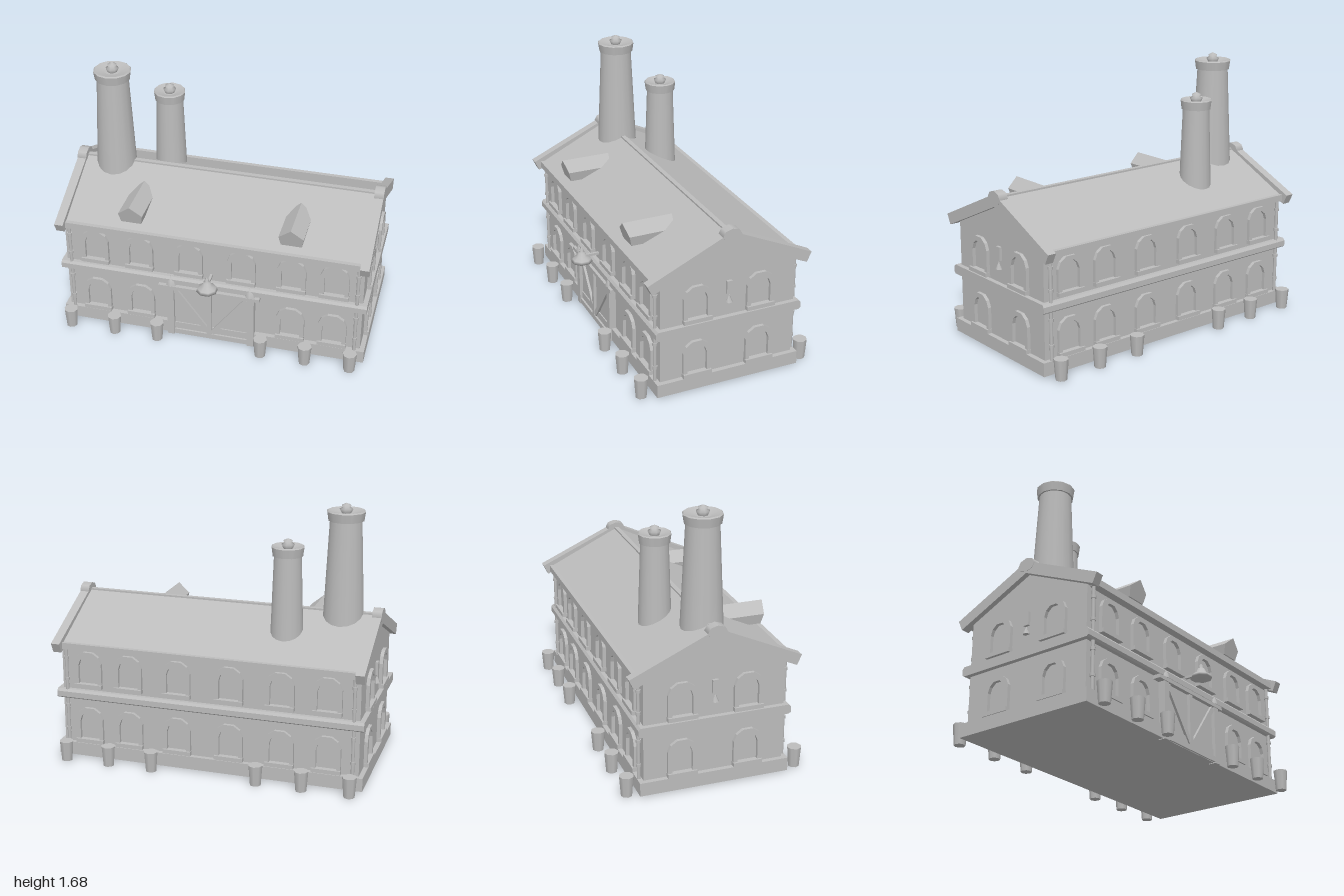
import * as THREE from 'three';

const stone = new THREE.MeshStandardMaterial({ color: 0xbcbcbc });
stone.name = 'plainGrey';

function add(parent, name, geo, x = 0, y = 0, z = 0) {
  const m = new THREE.Mesh(geo, stone);
  m.name = name;
  m.position.set(x, y, z);
  parent.add(m);
  return m;
}
const box = (w, h, d) => new THREE.BoxGeometry(w, h, d);
const shapeOf = pts => new THREE.Shape(pts.map(p => new THREE.Vector2(p[0], p[1])));
const extrude = (shape, depth) => new THREE.ExtrudeGeometry(shape, { depth, bevelEnabled: false });
const lathe = (pts, sides) => new THREE.LatheGeometry(pts.map(p => new THREE.Vector2(p[0], p[1])), sides);

// Cross-section mirrored over the ridge, run along x
function acrossSection(half, length) {
  const pts = [...half, ...half.filter(p => p[0] > 0).map(p => [-p[0], p[1], p[2]]).reverse()];
  const geo = extrude(shapeOf(pts), length);
  geo.translate(0, 0, -length / 2);
  return geo.rotateY(Math.PI / 2);
}

// Chevron with four points per side so that both top and underside follow the pitch
function chevron(topY, edge, under, bottomY, length) {
  const pts = [[0, topY], edge, under, [0, bottomY], [-under[0], under[1]], [-edge[0], edge[1]]];
  const geo = extrude(shapeOf(pts), length);
  geo.translate(0, 0, -length / 2);
  return geo.rotateY(Math.PI / 2);
}

// Arched surround with a sill
function arch(w, bottom, h) {
  return [[-w, bottom], [w, bottom], [w, h * 0.7], [w * 0.8, h * 0.88], [w * 0.35, h],
    [-w * 0.35, h], [-w * 0.8, h * 0.88], [-w, h * 0.7]];
}
const frameShape = shapeOf(arch(0.09, 0, 0.235));
frameShape.holes.push(new THREE.Path(arch(0.064, 0.02, 0.205).map(p => new THREE.Vector2(p[0], p[1]))));
const frameGeo = extrude(frameShape, 0.022);
const sillGeo = box(0.184, 0.026, 0.035);

function windowAt(parent, x, y, z, turn) {
  const g = new THREE.Group();
  g.name = 'window';
  add(g, 'windowFrame', frameGeo);
  add(g, 'windowSill', sillGeo, 0, 0.012, 0.016);
  g.position.set(x, y, z);
  g.rotation.y = turn;
  parent.add(g);
}

// Tapered stack, flared cap and small finial
function chimney(parent, name, x, z, y0, y1, r0, r1, rc) {
  const g = new THREE.Group();
  g.name = name;
  add(g, 'stack', new THREE.CylinderGeometry(r1, r0, y1 - y0, 16), 0, (y0 + y1) / 2, 0);
  const cap = [[r1 * 0.9, 0], [rc * 0.93, 0], [rc, 0.055], [rc * 0.94, 0.062], [rc * 0.4, 0.045], [0, 0.045]];
  for (let i = 0; i + 1 < cap.length; i++) add(g, 'cap', lathe([cap[i], cap[i + 1]], 12), 0, y1, 0);
  add(g, 'finial', lathe([[0.03, 0], [0.042, 0.025], [0.024, 0.034], [0.03, 0.048], [0, 0.062]], 8), 0, y1 + 0.045, 0);
  g.position.set(x, 0, z);
  parent.add(g);
}

// Bar between two points on the gate
function strut(parent, name, a, b, w, d, z) {
  const m = add(parent, name, box(w, Math.hypot(b[0] - a[0], b[1] - a[1]), d), (a[0] + b[0]) / 2, (a[1] + b[1]) / 2, z);
  m.rotation.z = Math.atan2(a[0] - b[0], b[1] - a[1]);
}

export function createModel() {
  const root = new THREE.Group();
  root.name = 'longBrickHall';
  const g = new THREE.Group();
  g.name = 'building';
  g.position.z = -0.022;
  root.add(g);

  // Body, plinth and belt
  add(g, 'walls', acrossSection([[0, 0.975], [0.44, 0.76], [0.44, 0.05]], 1.93));
  add(g, 'plinth', box(1.99, 0.085, 0.94), 0, 0.0575, 0);
  add(g, 'belt', acrossSection([[0.465, 0.46], [0.478, 0.445], [0.478, 0.41], [0.465, 0.4]], 1.99));

  // Roof, ridge, gutters and gable trims
  add(g, 'roof', chevron(1.0, [0.48, 0.768], [0.48, 0.735], 0.962, 1.9));
  add(g, 'ridge', box(1.9, 0.014, 0.03), 0, 0.997, 0);
  for (const s of [1, -1]) {
    add(g, 'gutter', box(1.89, 0.042, 0.05), 0, 0.755, s * 0.466);
    add(g, 'gableTrim', chevron(1.02, [0.533, 0.778], [0.503, 0.715], 0.942, 0.056), s * 0.97, 0, 0);
    const block = add(g, 'ridgeBlock', new THREE.CylinderGeometry(0.062, 0.062, 0.06, 8), s * 0.97, 0.995, 0);
    block.rotation.set(0, 0, Math.PI / 2);
    block.scale.set(0.72, 1, 1);
  }

  // Windows on all four sides
  const xs = [-0.765, -0.47, -0.145, 0.195, 0.515, 0.785];
  xs.forEach((x, i) => {
    windowAt(g, x, 0.48, 0.44, 0);
    windowAt(g, x, 0.48, -0.44, Math.PI);
    windowAt(g, x, 0.105, -0.44, Math.PI);
    if (i < 2 || i > 3) windowAt(g, x, 0.105, 0.44, 0);
  });
  for (const s of [1, -1]) {
    for (const z of [0.208, -0.205]) {
      for (const y of [0.47, 0.102]) windowAt(g, s * 0.965, y, z, s * Math.PI / 2);
    }
    // Small wall lantern in the gable
    add(g, 'lanternPlate', box(0.02, 0.085, 0.036), s * 0.972, 0.648, 0);
    add(g, 'lanternDrop', new THREE.ConeGeometry(0.022, 0.05, 6), s * 0.975, 0.575, 0);
  }

  // Drainpipes at the corners
  for (const sx of [1, -1]) for (const sz of [1, -1]) {
    add(g, 'drainpipe', new THREE.CylinderGeometry(0.011, 0.011, 0.66, 8), sx * 0.93, 0.41, sz * 0.458);
    for (const y of [0.19, 0.35, 0.53, 0.67]) {
      add(g, 'pipeClip', new THREE.CylinderGeometry(0.016, 0.016, 0.018, 8), sx * 0.93, y, sz * 0.458);
    }
  }

  // Tapered bollards along front and back
  const bollard = new THREE.CylinderGeometry(0.045, 0.035, 0.13, 8);
  for (const z of [0.542, -0.533]) for (const x of [-0.928, -0.63, -0.342, 0.342, 0.63, 0.918]) {
    add(g, 'bollard', bollard, x, 0.067, z);
  }

  // Braced double gate
  const gate = new THREE.Group();
  gate.name = 'gate';
  g.add(gate);
  add(gate, 'gateLeaves', box(0.5, 0.36, 0.03), 0, 0.2, 0.448);
  add(gate, 'gateLintel', box(0.66, 0.024, 0.07), -0.01, 0.387, 0.455);
  add(gate, 'gateThreshold', box(0.52, 0.035, 0.04), 0, 0.035, 0.462);
  add(gate, 'gateMiddlePost', box(0.03, 0.33, 0.02), -0.008, 0.21, 0.472);
  for (const s of [1, -1]) {
    add(gate, 'gatePost', box(0.045, 0.37, 0.05), s * 0.263, 0.195, 0.46);
    strut(gate, 'gateBrace', [s * 0.235, 0.365], [s * 0.01, 0.06], 0.032, 0.018, 0.47);
    add(gate, 'postCap', lathe([[0.036, 0], [0.028, 0.03], [0.012, 0.055], [0, 0.065]], 8), s * 0.258, 0.4, 0.46);
  }

  // Flared lamp above the gate
  add(g, 'lampArm', box(0.016, 0.016, 0.12), 0, 0.5, 0.495);
  const lamp = add(g, 'lampShade', lathe([[0, 0.468], [0.068, 0.466], [0.06, 0.485], [0.032, 0.505], [0.022, 0.53],
    [0.01, 0.535], [0.013, 0.55], [0, 0.565]], 8), 0, 0, 0.554);
  lamp.rotation.y = Math.PI / 8;

  // Gabled dormers, leaning forward
  const dormer = shapeOf([[-0.065, 0.82], [0.065, 0.82], [0.078, 0.885], [0, 0.948], [-0.078, 0.885]]);
  for (const x of [-0.515, 0.505]) {
    const geo = extrude(dormer, 0.26);
    const p = geo.attributes.position;
    for (let i = 0; i < p.count; i++) p.setZ(i, p.getZ(i) + (p.getY(i) - 0.82) * 0.25 * (p.getZ(i) > 0.1 ? 1 : -1));
    geo.computeVertexNormals();
    add(g, 'dormer', geo, x, 0, 0.188);
  }

  chimney(g, 'tallChimney', -0.75, -0.005, 0.93, 1.575, 0.13, 0.1, 0.12);
  chimney(g, 'shortChimney', -0.437, -0.188, 0.85, 1.375, 0.103, 0.085, 0.102);

  return root;
}
